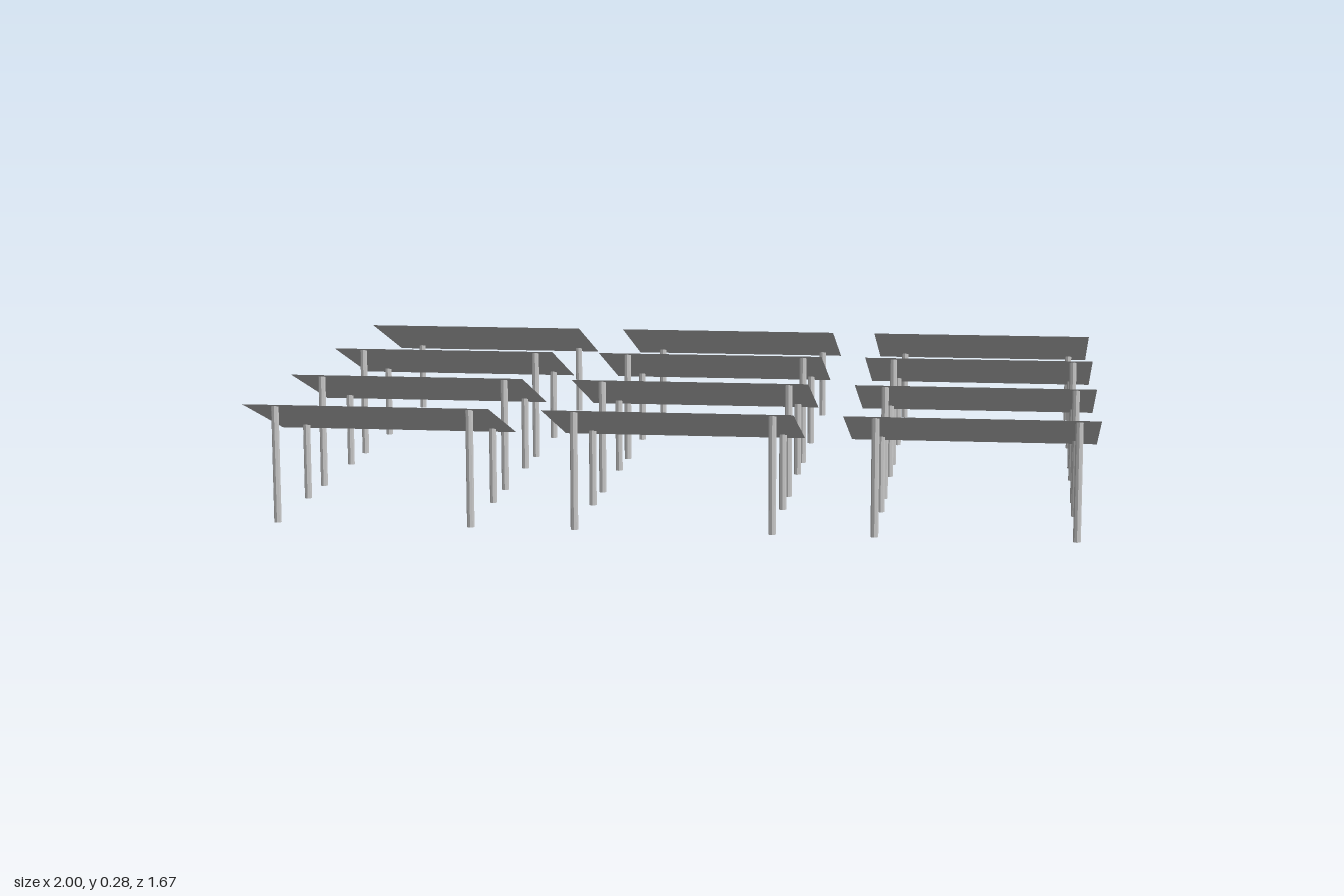
import * as THREE from 'three';

const WIDTH = 0.587, DEPTH = 0.35, LOW = 0.167, HIGH = 0.285;
const SLOPE = (HIGH - LOW) / DEPTH;
const MID = (LOW + HIGH) / 2;

// Octagonal post whose top is cut along the slope of the panel above it
function postGeometry(dz) {
  const geo = new THREE.CylinderGeometry(0.009, 0.009, 1, 8);
  const p = geo.attributes.position;
  for (let i = 0; i < p.count; i++) {
    p.setY(i, p.getY(i) > 0 ? MID + (dz + p.getZ(i)) * SLOPE - 0.001 : 0);
  }
  return geo;
}

export function createModel() {
  const model = new THREE.Group();
  model.name = 'solarPanelArray';
  const panelMat = new THREE.MeshStandardMaterial({ color: 0xcccccc, side: THREE.DoubleSide });
  const postMat = new THREE.MeshStandardMaterial({ color: 0xcccccc, flatShading: true });

  // Thin sheet rising towards the front
  const panelGeo = new THREE.PlaneGeometry(WIDTH, Math.hypot(DEPTH, HIGH - LOW));
  panelGeo.rotateX(-Math.PI / 2 - Math.atan(SLOPE));

  const posts = {
    frontPost: { dz: 0.155, geo: postGeometry(0.155) },
    backPost: { dz: -0.126, geo: postGeometry(-0.126) },
  };

  [-0.662, -0.224, 0.217, 0.655].forEach((z, row) => {
    for (const x of [-0.706, 0.005, 0.706]) {
      const table = new THREE.Group();
      table.name = 'panelUnit';
      table.position.set(x, 0, z);

      const panel = new THREE.Mesh(panelGeo, panelMat);
      panel.name = 'panel';
      panel.position.y = MID;
      table.add(panel);

      // The rearmost row stands on back posts only
      for (const [name, { dz, geo }] of Object.entries(posts)) {
        if (row === 0 && name === 'frontPost') continue;
        for (const dx of [-0.22, 0.244]) {
          const post = new THREE.Mesh(geo, postMat);
          post.name = name;
          post.position.set(dx, 0, dz);
          table.add(post);
        }
      }
      model.add(table);
    }
  });
  return model;
}
